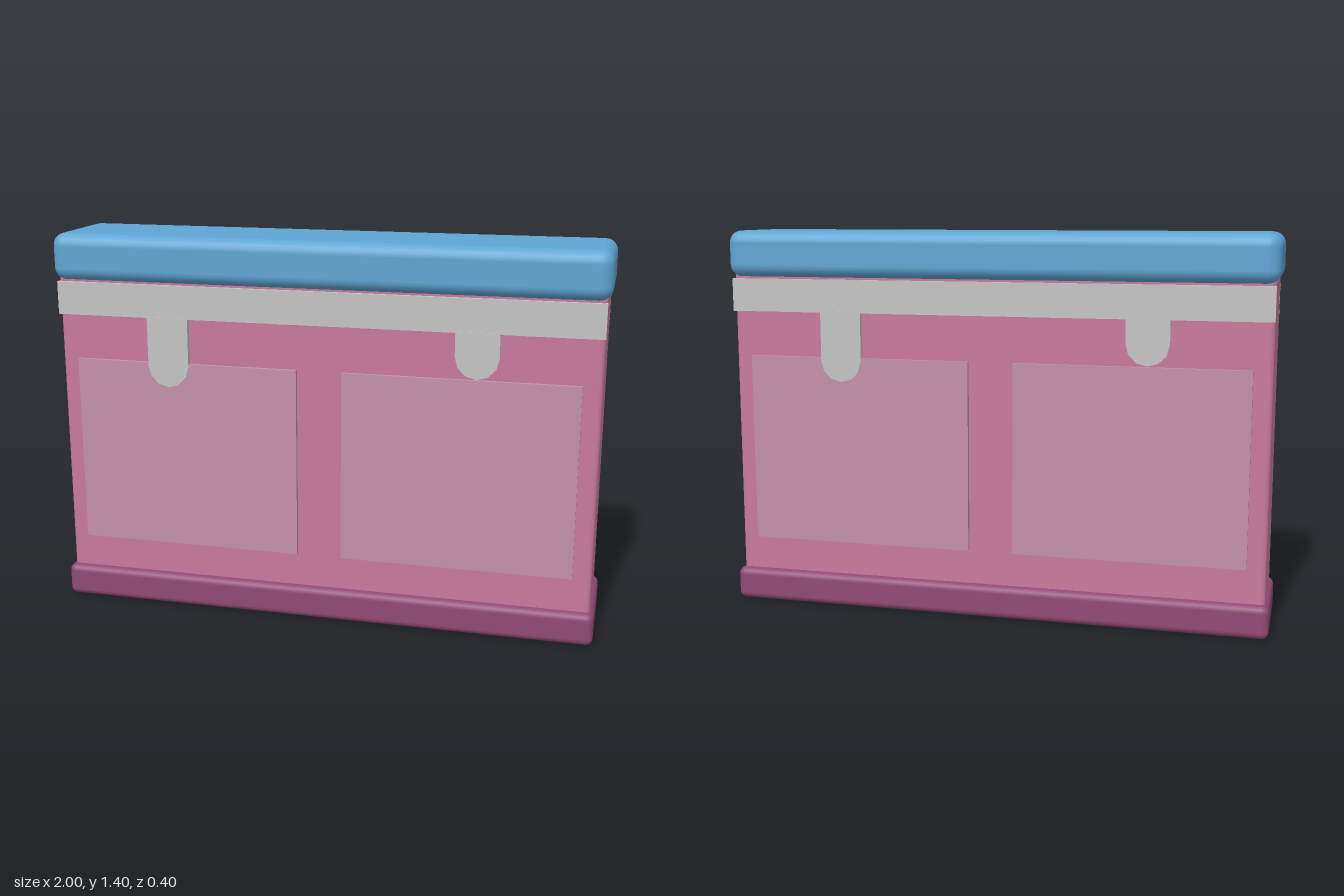
import * as THREE from 'three';
import { RoundedBoxGeometry } from 'three/addons/geometries/RoundedBoxGeometry.js';

const mat = (name, color) => {
  const m = new THREE.MeshStandardMaterial({ color });
  m.name = name;
  return m;
};

export function createModel() {
  const pink = mat('pink body', 0xc97a9d);
  const panelPink = mat('dusty pink panel', 0xc491a9);
  const plum = mat('plum base', 0x924a75);
  const blue = mat('blue cap', 0x5fa5d4);
  const grey = mat('grey trim', 0xc4c4c4);
  const model = new THREE.Group();
  model.name = 'wallSegment';

  const add = (parent, name, geometry, material, x, y, z) => {
    const mesh = new THREE.Mesh(geometry, material);
    mesh.name = name;
    mesh.position.set(x, y, z);
    parent.add(mesh);
  };
  // Rounded slab spanning y0 to y1, centred in x and z
  const slab = (name, w, y0, y1, d, r, material) =>
    add(model, name, new RoundedBoxGeometry(w, y1 - y0, d, 3, r), material, 0, (y0 + y1) / 2, 0);

  slab('base', 2, 0, 0.12, 0.4, 0.025, plum);
  slab('body', 1.97, 0.1, 1.25, 0.34, 0.018, pink);
  slab('cap', 2, 1.23, 1.4, 0.4, 0.045, blue);

  // Hanging tab with a faceted round end
  const tab = (top, bottom, r) => {
    const s = new THREE.Shape();
    s.moveTo(r, top);
    s.lineTo(-r, top);
    for (let i = 0; i <= 6; i++) {
      const a = Math.PI * (1 + i / 6);
      s.lineTo(r * Math.cos(a), bottom + r + r * Math.sin(a));
    }
    return new THREE.ExtrudeGeometry(s, { depth: 0.024, bevelEnabled: false });
  };

  // Both faces carry the same trim, turned half round
  for (const [name, turn] of [['frontTrim', 0], ['backTrim', Math.PI]]) {
    const face = new THREE.Group();
    face.name = name;
    face.rotation.y = turn;
    add(face, 'band', new THREE.BoxGeometry(1.97, 0.12, 0.02), grey, 0, 1.165, 0.175);
    for (const side of [-1, 1])
      add(face, 'panel', new THREE.BoxGeometry(0.835, 0.695, 0.02), panelPink, side * 0.5, 0.593, 0.175);
    add(face, 'longTab', tab(1.11, 0.853, 0.077), grey, -0.562, 0, 0.165);
    add(face, 'shortTab', tab(1.11, 0.945, 0.077), grey, 0.56, 0, 0.165);
    model.add(face);
  }
  return model;
}
